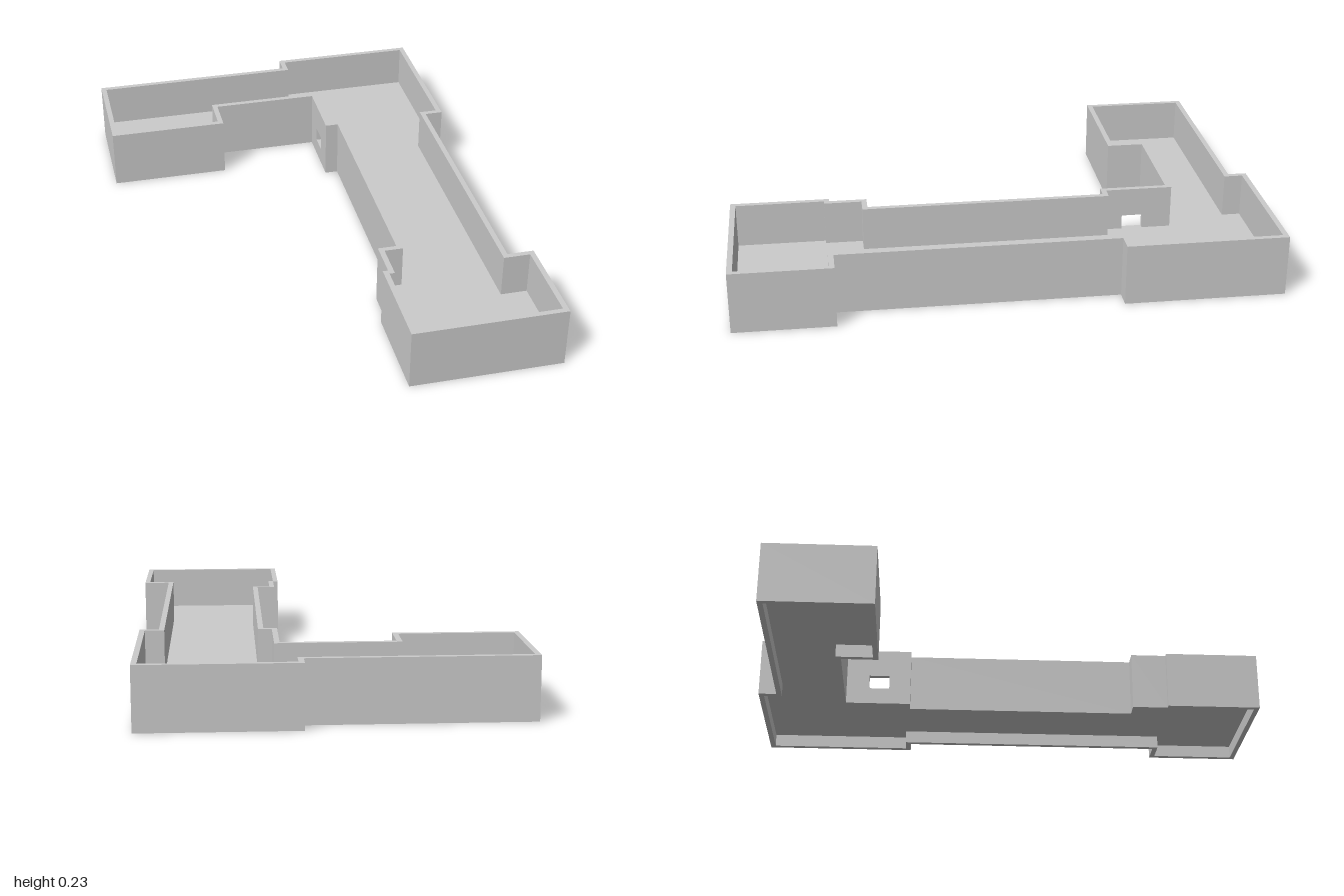
import * as THREE from 'three';

const HEIGHT = 0.23, WALL = 0.02, FLOOR = 0.05, FLOOR_TOP = 0.065;
const DOOR = { x: 0.17, back: -0.57, front: -0.49, top: 0.12 };

// Outer plan of the building as [x, z], clockwise from above;
// the doorway lies on the edge between the last and first points.
const outer = [
  [0.17, -0.66], [-0.24, -0.66], [-0.24, -0.52], [-0.7, -0.52], [-0.7, -0.93],
  [0.1, -0.93], [0.1, -1], [0.67, -1], [0.67, -0.405], [0.6, -0.405],
  [0.6, 0.63], [0.7, 0.63], [0.7, 1], [0.13, 1], [0.13, 0.63],
  [0.15, 0.63], [0.15, 0.49], [0.22, 0.49], [0.22, -0.405], [0.17, -0.405],
];

// Move every corner of a right-angled plan inwards by d
function inset(points, d) {
  const n = points.length;
  const inward = (a, b) => [-Math.sign(b[1] - a[1]), Math.sign(b[0] - a[0])];
  return points.map((p, i) => {
    const u = inward(points[(i + n - 1) % n], p);
    const v = inward(p, points[(i + 1) % n]);
    return [p[0] + d * (u[0] + v[0]), p[1] + d * (u[1] + v[1])];
  });
}

// Raise a plan from y0 to y1
function raisePlan(points, y0, y1) {
  const shape = new THREE.Shape(points.map(([x, z]) => new THREE.Vector2(x, -z)));
  const geometry = new THREE.ExtrudeGeometry(shape, { depth: y1 - y0, bevelEnabled: false });
  return geometry.rotateX(-Math.PI / 2).translate(0, y0, 0);
}

export function createModel() {
  const model = new THREE.Group();
  model.name = 'openBuilding';
  const material = new THREE.MeshStandardMaterial({ color: 0xcccccc, flatShading: true });
  const add = (name, geometry) => {
    const mesh = new THREE.Mesh(geometry, material);
    mesh.name = name;
    model.add(mesh);
  };

  const inner = inset(outer, WALL);
  const { x, back, front, top } = DOOR;

  // Wall running all the way round from one door jamb to the other
  add('walls', raisePlan([
    [x, back], ...outer, [x, front],
    [x + WALL, front], ...inner.slice().reverse(), [x + WALL, back],
  ], 0, HEIGHT));

  // Wall above and below the doorway
  const doorPlan = [[x, back], [x + WALL, back], [x + WALL, front], [x, front]];
  add('doorLintel', raisePlan(doorPlan, top, HEIGHT));
  add('doorSill', raisePlan(doorPlan, 0, FLOOR_TOP));

  // Floor slab set above the foot of the walls
  add('floor', raisePlan(inner, FLOOR, FLOOR_TOP));

  return model;
}
